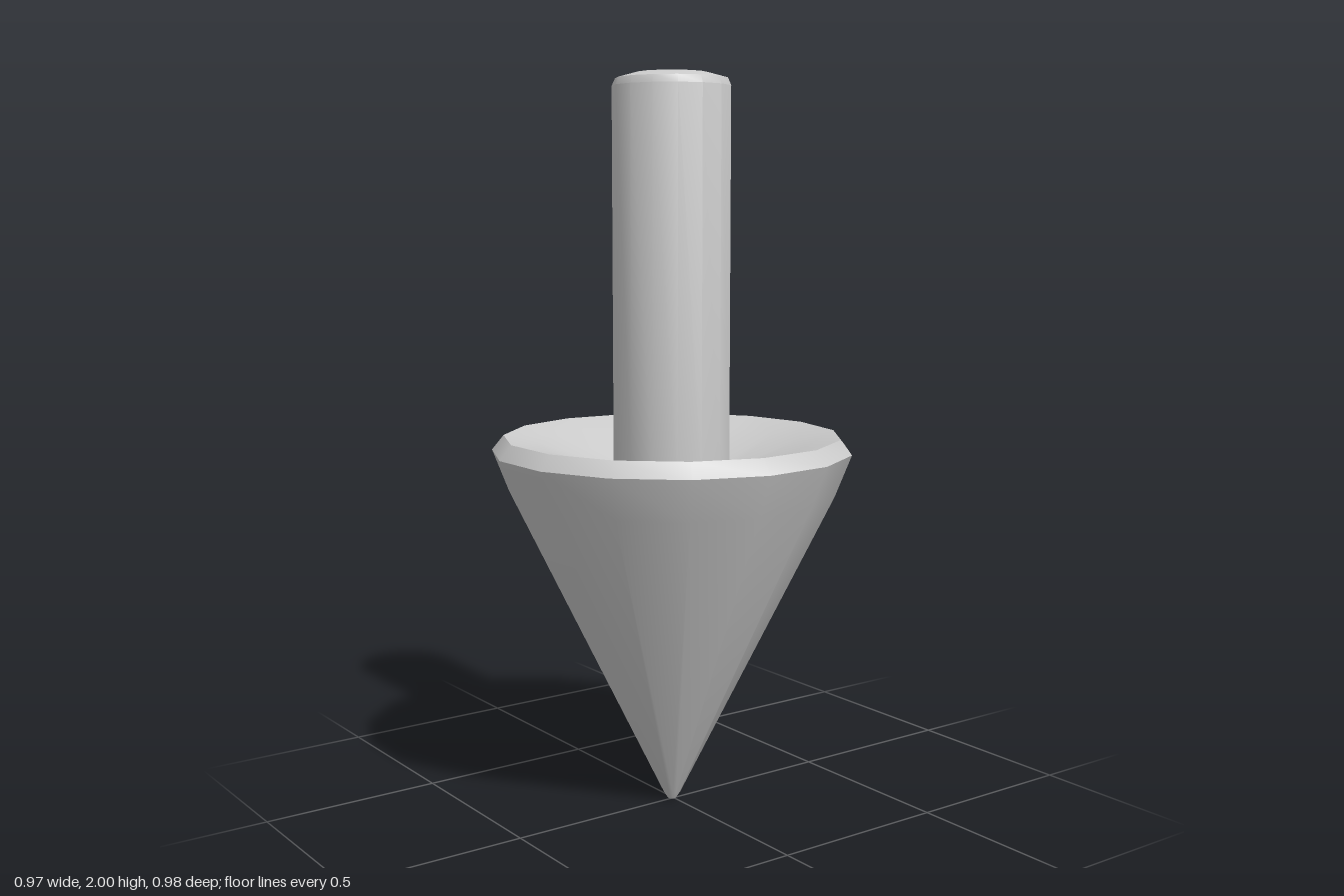
import * as THREE from 'three';
import { toCreasedNormals } from 'three/addons/utils/BufferGeometryUtils.js';

const SIDES = 15;
const material = new THREE.MeshStandardMaterial({ color: 0xcccccc });

// Revolve a [radius, height] profile with one corner on +x; bevels stay crisp
function turned(name, profile) {
  const points = profile.map(([r, y]) => new THREE.Vector2(r, y));
  const lathe = new THREE.LatheGeometry(points, SIDES, Math.PI / 2);
  const mesh = new THREE.Mesh(toCreasedNormals(lathe, Math.PI / 6), material);
  mesh.name = name;
  mesh.position.x = -0.006; // an odd number of sides reaches further on +x
  return mesh;
}

export function createModel() {
  const group = new THREE.Group();
  group.name = 'spike';

  // Pointed cone with a bevelled rim and a dished top
  group.add(turned('coneHead', [
    [0, 0], [0.012, 0.003], [0.024, 0.022],
    [0.446, 0.88], [0.491, 0.995],
    [0.459, 1.035], [0.36, 1.012], [0.158, 0.935],
  ]));

  // Round shaft rising from the dish, with a bevelled, slightly domed end
  group.add(turned('shaft', [
    [0.159, 0.925], [0.159, 1.965], [0.15, 1.985], [0.095, 2], [0, 2],
  ]));

  return group;
}
